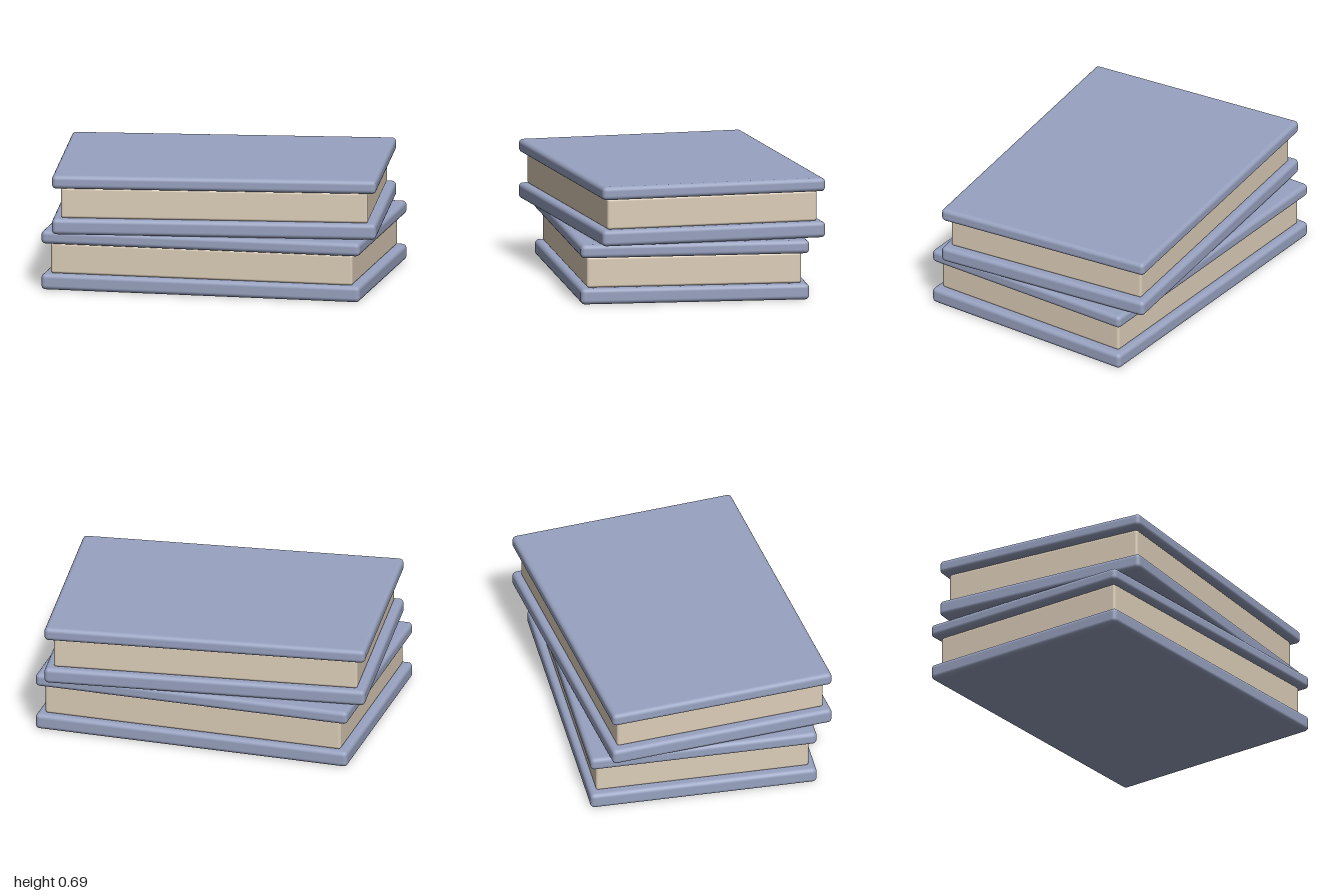
import * as THREE from 'three';
import { RoundedBoxGeometry } from 'three/addons/geometries/RoundedBoxGeometry.js';

const coverMaterial = new THREE.MeshStandardMaterial({ color: 0x98a2c0 });
const pageMaterial = new THREE.MeshStandardMaterial({ color: 0xdccdb8 });

// A rounded slab spanning the heights y0 to y1
function slab(name, width, depth, y0, y1, radius, material) {
  const mesh = new THREE.Mesh(new RoundedBoxGeometry(width, y1 - y0, depth, 3, radius), material);
  mesh.position.y = (y0 + y1) / 2;
  mesh.name = name;
  return mesh;
}

// A closed book: two cover boards with an inset page block between them
function makeBook(name, y, turn) {
  const book = new THREE.Group();
  book.name = name;
  book.add(
    slab('bottomCover', 1.855, 1.315, 0, 0.092, 0.025, coverMaterial),
    slab('pageBlock', 1.757, 1.235, 0.09, 0.267, 0.015, pageMaterial),
    slab('topCover', 1.855, 1.315, 0.266, 0.343, 0.025, coverMaterial),
  );
  book.position.y = y;
  book.rotation.y = turn;
  return book;
}

export function createModel() {
  const model = new THREE.Group();
  model.name = 'bookStack';
  model.add(makeBook('lowerBook', 0, 0), makeBook('upperBook', 0.343, 0.12));
  return model;
}
